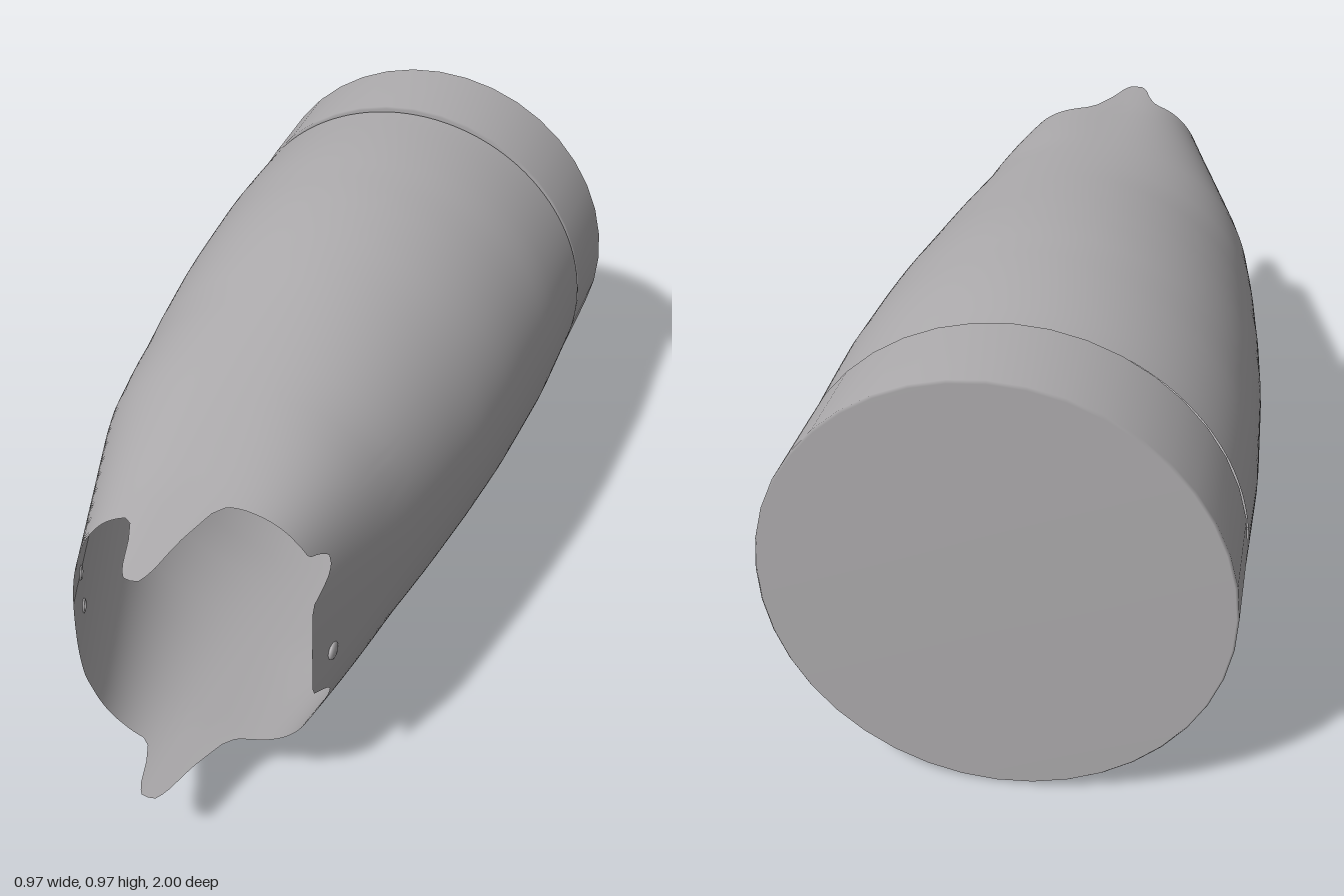
import * as THREE from 'three';

const CENTRE_Y = 0.487;
const SIDES = 240, ROWS = 28;

const grey = new THREE.MeshStandardMaterial({ color: 0xaeacae, side: THREE.DoubleSide });
grey.name = 'grey';

// Half-sizes along z: [z, size]
const HEIGHT = [[-0.75, 0.473], [-0.62, 0.48], [-0.5, 0.482], [-0.3, 0.477], [-0.15, 0.465], [0, 0.447], [0.75, 0.338], [1, 0.309]];
const WIDTH_LEFT = [[-0.75, 0.483], [-0.5, 0.483], [-0.2, 0.465], [0, 0.445], [0.2, 0.412], [0.4, 0.375], [0.75, 0.292], [1, 0.23]];
const WIDTH_RIGHT = [[-0.75, 0.483], [-0.5, 0.483], [-0.2, 0.465], [0, 0.443], [0.2, 0.415], [0.36, 0.385], [0.86, 0.215], [1, 0.17]];
// Squareness of the section on each side
const SQUARE_LEFT = [[0, 2], [0.4, 2.3], [0.75, 3.4]];
const SQUARE_RIGHT = [[0.1, 2], [0.86, 2.6]];
// Front edge: [degrees from +x, z], mirrored above and below
const RIM = [[0, 0.768], [20, 0.765], [24, 0.755], [28, 0.7], [31, 0.68], [35, 0.677], [38, 0.7], [41, 0.735], [48, 0.742], [68, 0.75],
  [73, 0.757], [76.5, 0.785], [81.5, 0.88], [84.5, 0.97], [87, 0.997], [90, 1], [93, 0.997], [95.5, 0.975], [99, 0.9],
  [102, 0.855], [105, 0.84], [115, 0.84], [135, 0.85], [145, 0.86], [180, 0.862]];

function sample(table, v) {
  if (v <= table[0][0]) return table[0][1];
  for (let i = 1; i < table.length; i++) {
    const [a, p] = table[i - 1], [b, q] = table[i];
    if (v <= b) return p + (q - p) * (v - a) / (b - a);
  }
  return table[table.length - 1][1];
}

// Point on the shell surface at an angle and depth
function shellPoint(angle, z) {
  const c = Math.cos(angle), s = Math.sin(angle);
  const w = sample(c > 0 ? WIDTH_LEFT : WIDTH_RIGHT, z);
  const n = sample(c > 0 ? SQUARE_LEFT : SQUARE_RIGHT, z);
  const h = sample(HEIGHT, z);
  const r = Math.pow(Math.pow(Math.abs(c) / w, n) + Math.pow(Math.abs(s) / h, n), -1 / n);
  return new THREE.Vector3(r * c, CENTRE_Y + r * s, z);
}

// Tapered shell, running from a round back to the shaped front edge
function shellGeometry() {
  const pos = [], index = [];
  for (let j = 0; j <= ROWS; j++) {
    for (let i = 0; i < SIDES; i++) {
      const degrees = i * 360 / SIDES;
      const rim = sample(RIM, degrees > 180 ? 360 - degrees : degrees);
      const z = -0.752 + (rim + 0.752) * j / ROWS;
      pos.push(...shellPoint(degrees * Math.PI / 180, z).toArray());
    }
  }
  for (let j = 0; j < ROWS; j++) {
    for (let i = 0; i < SIDES; i++) {
      const k = (i + 1) % SIDES;
      const a = j * SIDES + i, b = j * SIDES + k, c = a + SIDES, d = b + SIDES;
      index.push(a, b, d, a, d, c);
    }
  }
  const geo = new THREE.BufferGeometry();
  geo.setAttribute('position', new THREE.Float32BufferAttribute(pos, 3));
  geo.setIndex(index);
  geo.computeVertexNormals();
  return geo;
}

export function createModel() {
  const model = new THREE.Group();
  model.name = 'taperedSleeve';
  const add = (name, geo) => {
    const mesh = new THREE.Mesh(geo, grey);
    mesh.name = name;
    model.add(mesh);
    return mesh;
  };

  add('shell', shellGeometry());

  // Closed end cap behind a narrow gap
  const profile = [[0, 0], [0.478, 0], [0.483, 0.004], [0.487, 0.234], [0.482, 0.24], [0, 0.24]]
    .map(([r, y]) => new THREE.Vector2(r, y));
  const capGeo = new THREE.LatheGeometry(profile, 40);
  capGeo.rotateX(-Math.PI / 2);
  const cap = add('endCap', capGeo);
  cap.position.set(0, CENTRE_Y, -0.76);

  // Two eyelets on the right wall
  for (const y of [0.445, 0.54]) {
    const angle = Math.PI - Math.asin((y - CENTRE_Y) / 0.25);
    const eyelet = add('eyelet', new THREE.TorusGeometry(0.013, 0.004, 8, 20));
    eyelet.position.copy(shellPoint(angle, 0.76));
    eyelet.rotation.y = -Math.PI / 2 + 0.33;
  }

  // Small rivet on the left wall
  const rivet = add('rivet', new THREE.SphereGeometry(0.022, 16, 10));
  rivet.scale.x = 0.4;
  rivet.position.copy(shellPoint(-0.17, 0.69));

  return model;
}
